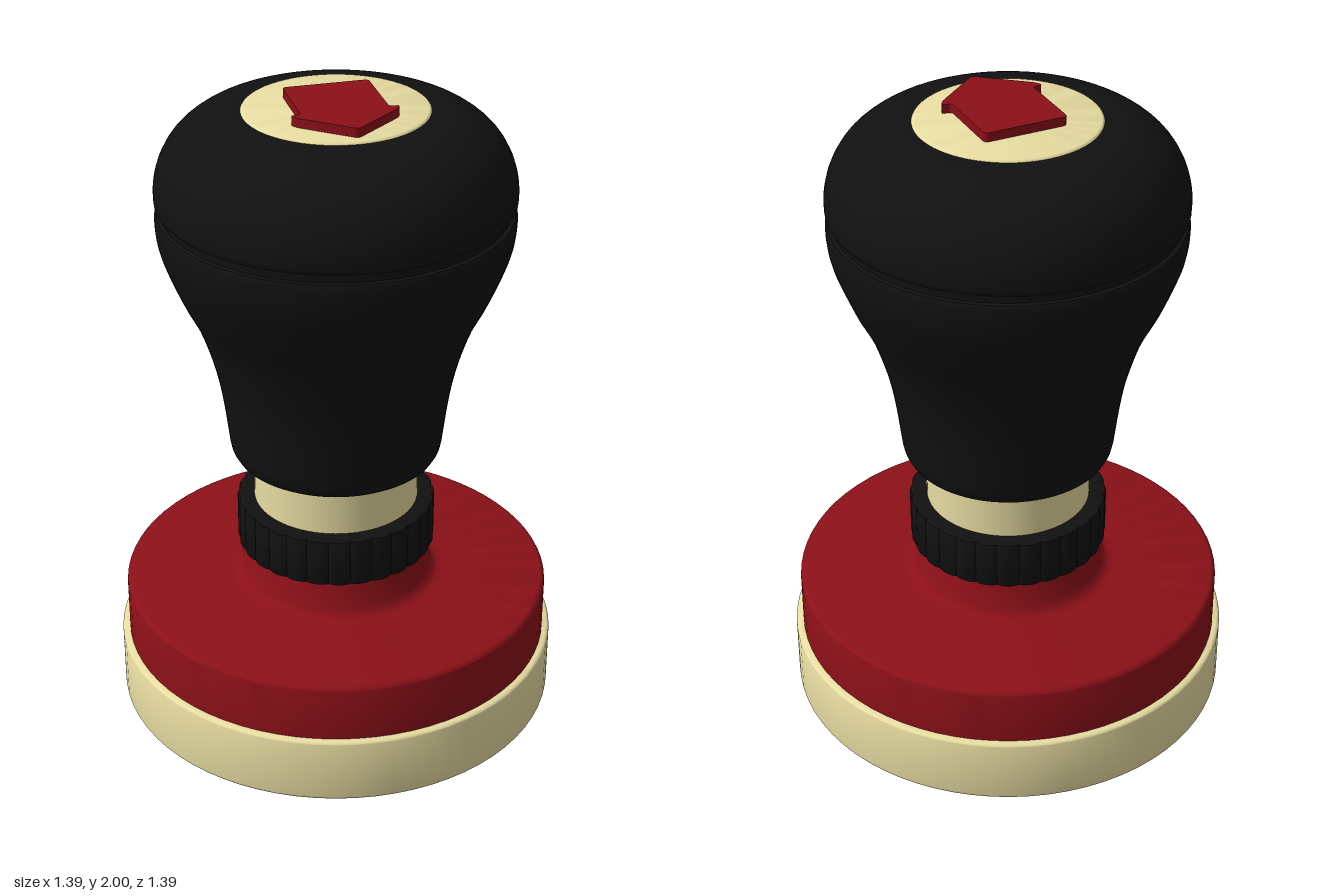
import * as THREE from 'three';
import { toCreasedNormals } from 'three/addons/utils/BufferGeometryUtils.js';

const material = (color) => new THREE.MeshStandardMaterial({ color });
const v = (x, y) => new THREE.Vector2(x, y);

// Turned part from a profile of [radius, height], listed bottom to top.
function turned(name, profile, mat) {
  const points = profile.map((p) => v(p[0], p[1]));
  const mesh = new THREE.Mesh(toCreasedNormals(new THREE.LatheGeometry(points, 72), 0.6), mat);
  mesh.name = name;
  return mesh;
}

// Quarter-round edge about (r, y), from angle a to b in degrees.
function round(r, y, radius, a, b, steps = 5) {
  return Array.from({ length: steps + 1 }, (_, i) => {
    const t = THREE.MathUtils.degToRad(a + ((b - a) * i) / steps);
    return [r + radius * Math.cos(t), y + radius * Math.sin(t)];
  });
}

const smooth = (points, n) =>
  new THREE.SplineCurve(points.map((p) => v(p[0], p[1]))).getPoints(n).map((p) => [p.x, p.y]);

export function createModel() {
  const group = new THREE.Group();
  const cream = material(0xe8dda2);
  const red = material(0x8c1018);
  const black = material(0x111111);

  // Cream die plate with softened edges
  group.add(turned('basePlate', [
    [0, 0], ...round(0.683, 0.012, 0.012, -90, 0),
    ...round(0.683, 0.203, 0.012, 0, 90), [0, 0.215],
  ], cream));

  // Red mount: flat disc sweeping up into a tapered collar
  group.add(turned('mount', [
    [0, 0.205], [0.672, 0.205], ...round(0.652, 0.382, 0.02, 0, 90),
    [0.345, 0.402], [0.325, 0.405], [0.311, 0.414], [0.302, 0.43],
    [0.288, 0.475], [0.272, 0.53], [0, 0.53],
  ], red));

  // Knurled locking ring with shallow scallops
  const ringShape = new THREE.Shape();
  const ridges = 28, perRidge = 8;
  for (let i = 0; i < ridges * perRidge; i++) {
    const a = (i / (ridges * perRidge)) * Math.PI * 2;
    const r = 0.294 + 0.01 * Math.sqrt(Math.abs(Math.cos((a * ridges) / 2)));
    if (i) ringShape.lineTo(r * Math.cos(a), r * Math.sin(a));
    else ringShape.moveTo(r, 0);
  }
  ringShape.closePath();
  const ringGeometry = new THREE.ExtrudeGeometry(ringShape, {
    depth: 0.142, bevelEnabled: true, bevelThickness: 0.008, bevelSize: 0.008, bevelSegments: 2,
  });
  ringGeometry.rotateX(-Math.PI / 2).translate(0, 0.531, 0);
  const ring = new THREE.Mesh(toCreasedNormals(ringGeometry, 0.6), black);
  ring.name = 'knurledRing';
  group.add(ring);

  // Cream neck
  group.add(turned('neck', [[0, 0.66], [0.258, 0.66], [0.258, 0.85], [0, 0.85]], cream));

  // Black handle: flared grip, narrow groove and domed cap
  const grip = smooth([
    [0.331, 0.89], [0.36, 1.1], [0.411, 1.28], [0.47, 1.405],
    [0.519, 1.53], [0.534, 1.6], [0.536, 1.648],
  ], 36);
  const dome = smooth([
    [0.536, 1.698], [0.535, 1.75], [0.517, 1.815], [0.478, 1.878],
    [0.418, 1.927], [0.35, 1.955], [0.27, 1.966],
  ], 30);
  group.add(turned('handle', [
    [0, 0.832], [0.275, 0.832], [0.298, 0.837], [0.316, 0.849], [0.326, 0.867],
    ...grip, [0.53, 1.658], [0.518, 1.66], [0.518, 1.686], [0.53, 1.688], ...dome, [0, 1.966],
  ], black));

  // Cream inlay in the top of the handle
  group.add(turned('topInlay', [
    [0, 1.95], [0.278, 1.95], ...round(0.266, 1.96, 0.012, 0, 90), [0, 1.972],
  ], cream));

  // Red arrow pointing to the front, corners rounded
  const corners = [
    [-0.13, -0.12], [0.13, -0.12], [0.13, 0.102], [0.162, 0.102], [0.15, 0.125],
    [0, 0.247], [-0.15, 0.125], [-0.162, 0.102], [-0.13, 0.102],
  ].map((p) => v(p[0], p[1]));
  const arrowShape = new THREE.Shape();
  corners.forEach((corner, i) => {
    const before = corners[(i + corners.length - 1) % corners.length];
    const after = corners[(i + 1) % corners.length];
    const cut = (other) => corner.clone().lerp(other, Math.min(0.45, 0.014 / corner.distanceTo(other)));
    const start = cut(before), end = cut(after);
    if (i) arrowShape.lineTo(start.x, start.y);
    else arrowShape.moveTo(start.x, start.y);
    arrowShape.quadraticCurveTo(corner.x, corner.y, end.x, end.y);
  });
  arrowShape.closePath();
  const arrowGeometry = new THREE.ExtrudeGeometry(arrowShape, {
    depth: 0.035, bevelEnabled: false, curveSegments: 4,
  });
  arrowGeometry.rotateX(Math.PI / 2).translate(0, 2, 0);
  const arrow = new THREE.Mesh(toCreasedNormals(arrowGeometry, 0.6), red);
  arrow.name = 'directionArrow';
  group.add(arrow);

  return group;
}
